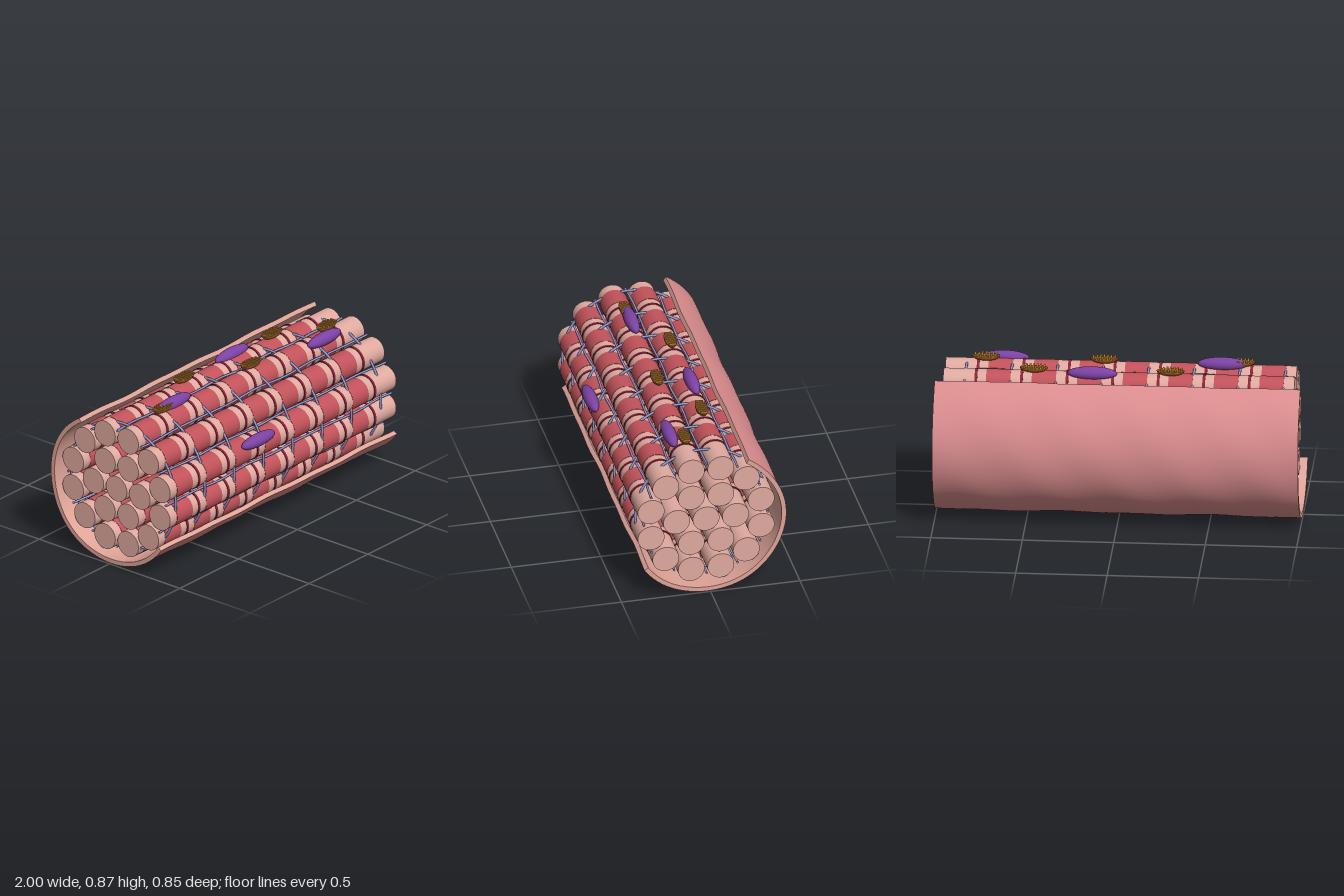
import * as THREE from 'three';
import { mergeGeometries } from 'three/addons/utils/BufferGeometryUtils.js';

const CY = 0.445, CZ = 0.016; // bundle axis
const PITCH = 0.249;          // length of one repeating unit

function material(name, color, side = THREE.FrontSide) {
  const m = new THREE.MeshStandardMaterial({ color, side });
  m.name = name;
  return m;
}

// cylinder lying along x
function rod(radius, length, x = 0) {
  return new THREE.CylinderGeometry(radius, radius, length, 36).rotateZ(Math.PI / 2).translate(x, 0, 0);
}

export function createModel() {
  const mats = {
    fibril: material('pale pink', 0xe0aaa0),
    band: material('red', 0xc2525a),
    disc: material('dark red', 0x8a2238),
    sheath: material('rose', 0xda8c8e),
    lining: material('light rose', 0xe0a498),
    tubule: material('periwinkle', 0x8e94c8, THREE.DoubleSide),
    nucleus: material('purple', 0x7c42a4),
    shell: material('brown', 0x9c6020),
    crista: material('orange', 0xd08c38),
  };
  const root = new THREE.Group();
  root.name = 'muscleFibre';

  function add(parent, name, geometry, mat, x = 0, y = 0, z = 0) {
    const mesh = new THREE.Mesh(geometry, mat);
    mesh.name = name;
    mesh.position.set(x, y, z);
    parent.add(mesh);
    return mesh;
  }

  // Fibrils: one in the centre, six around it, twelve outside
  const core = rod(0.0745, 1.92);
  const bands = [], discs = [];
  for (let i = 0; i < 7; i++) {
    bands.push(rod(0.0762, 0.133, -0.835 + i * PITCH));
    discs.push(rod(0.078, 0.015, -0.713 + i * PITCH));
  }
  const bandGeo = mergeGeometries(bands), discGeo = mergeGeometries(discs);
  const rings = [[1, 0, 0], [6, 0.165, 0], [12, 0.319, Math.PI / 12]];
  for (const [count, radius, start] of rings) {
    for (let i = 0; i < count; i++) {
      const a = start + (i / count) * Math.PI * 2;
      const fibril = new THREE.Group();
      fibril.name = 'fibril';
      fibril.position.set(0, CY + radius * Math.sin(a), CZ + radius * Math.cos(a));
      add(fibril, 'fibrilCore', core, mats.fibril);
      add(fibril, 'redBands', bandGeo, mats.band);
      add(fibril, 'darkDiscs', discGeo, mats.disc);
      root.add(fibril);
    }
  }

  // Network: rings around the bundle and wavy tubules along it
  const ringGeo = new THREE.TorusGeometry(0.371, 0.0075, 8, 72).rotateY(Math.PI / 2);
  for (let i = 0; i < 8; i++) add(root, 'networkRing', ringGeo, mats.tubule, -0.9 + i * PITCH, CY, CZ);
  for (let i = 0; i < 12; i++) {
    const a = (i / 12) * Math.PI * 2;
    const points = [];
    for (let k = 0; k <= 24; k++) {
      const x = -0.96 + k * 0.08;
      const r = 0.349 + 0.004 * Math.sin(k * 1.3 + i * 2);
      const b = a + 0.012 * Math.sin(k * 0.9 + i * 1.7);
      points.push(new THREE.Vector3(x, CY + r * Math.sin(b), CZ + r * Math.cos(b)));
    }
    add(root, 'tubule', new THREE.TubeGeometry(new THREE.CatmullRomCurve3(points), 72, 0.0065, 8), mats.tubule);
  }

  // Sheath: a slab bent round the bundle, with gentle waves
  const arc = THREE.MathUtils.degToRad(202), mid = THREE.MathUtils.degToRad(-43);
  const sheathGeo = new THREE.BoxGeometry(2, 0.026, arc, 56, 1, 80);
  const p = sheathGeo.attributes.position;
  for (let i = 0; i < p.count; i++) {
    const x = p.getX(i), a = mid + p.getZ(i);
    const wave = 0.0025 * Math.sin(8 * x + 3 * a) + 0.002 * Math.sin(15 * x - 5 * a);
    const r = 0.423 + p.getY(i) + wave;
    p.setXYZ(i, x, CY + r * Math.sin(a), CZ - r * Math.cos(a));
  }
  sheathGeo.computeVertexNormals();
  const { sheath, lining } = mats;
  add(root, 'sheath', sheathGeo, [lining, lining, sheath, lining, lining, lining]);

  // Nuclei: long ellipsoids resting on the outer fibrils
  const nucleusGeo = new THREE.SphereGeometry(1, 32, 20).scale(0.136, 0.037, 0.037);
  for (const [x, y, z] of [[-0.205, 0.585, 0.392], [0.645, 0.822, 0.15], [-0.553, 0.84, 0.083], [0.147, 0.833, -0.092]]) {
    add(root, 'nucleus', nucleusGeo, mats.nucleus, x, y, z);
  }

  // Mitochondria: cut-open half shells with raised folds
  const shellGeo = new THREE.SphereGeometry(1, 28, 10, 0, Math.PI * 2, Math.PI / 2, Math.PI / 2).scale(0.077, 0.03, 0.033);
  const lidGeo = new THREE.CircleGeometry(1, 28).rotateX(-Math.PI / 2).scale(0.077, 1, 0.033);
  const folds = [];
  for (let i = -3; i <= 3; i++) {
    const x = i * 0.0195;
    const width = 0.064 * Math.sqrt(1 - (x / 0.077) ** 2);
    folds.push(new THREE.BoxGeometry(0.009, 0.014, width).translate(x, 0.003, 0));
  }
  const foldGeo = mergeGeometries(folds);
  for (const [x, z] of [[-0.28, -0.073], [0.468, -0.073], [-0.655, 0.092], [0.094, 0.09], [0.74, 0.088]]) {
    const g = new THREE.Group();
    g.name = 'mitochondrion';
    g.position.set(x, 0.853, z);
    add(g, 'shell', shellGeo, mats.shell);
    add(g, 'cutFace', lidGeo, mats.shell);
    add(g, 'folds', foldGeo, mats.crista);
    root.add(g);
  }
  return root;
}
